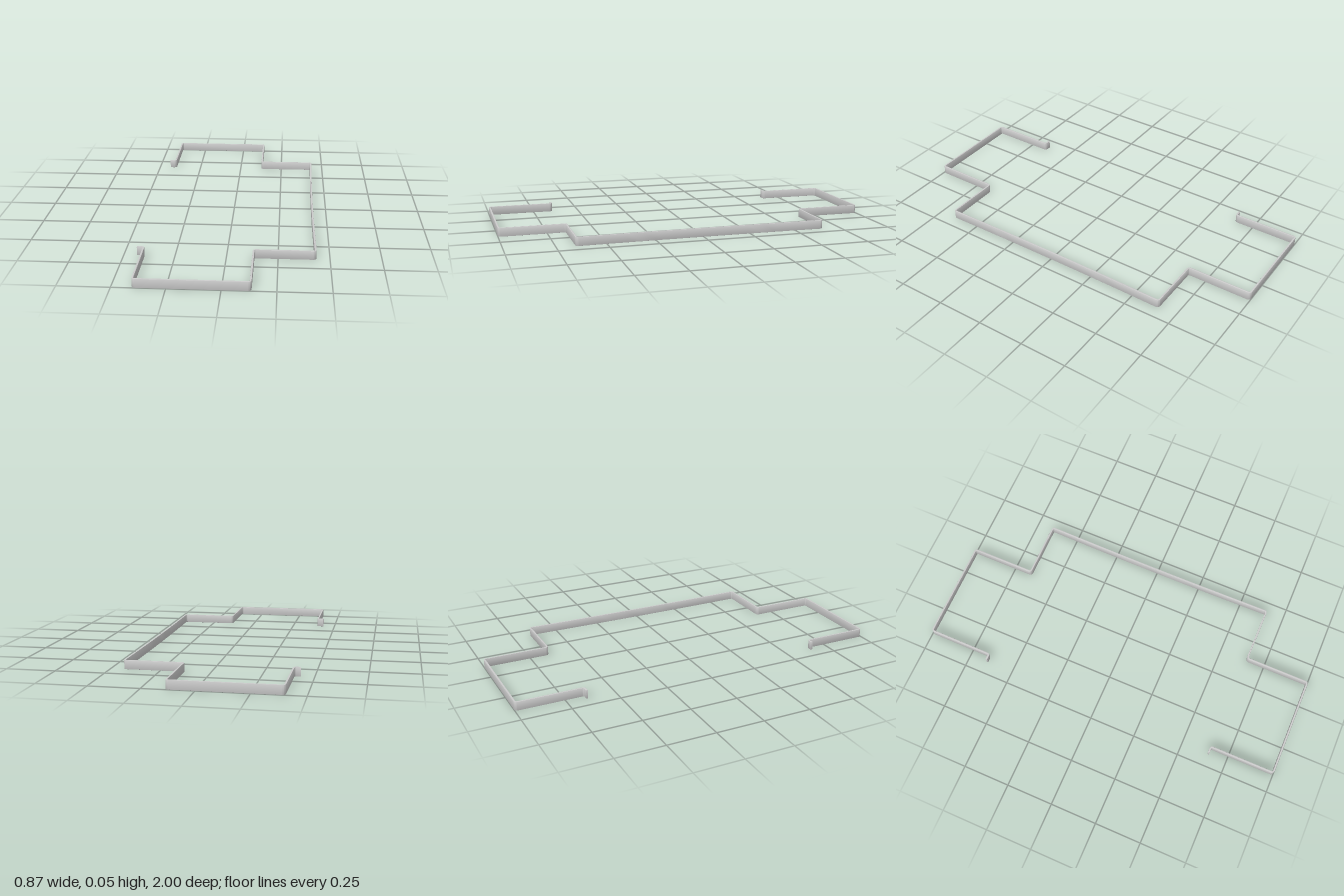
import * as THREE from 'three';
import { toCreasedNormals } from 'three/addons/utils/BufferGeometryUtils.js';

const THICK = 0.009, HEIGHT = 0.046, RADIUS = 0.012, BEVEL = 0.0015;

// Centre line of the bent strip, half of it (z > 0), from the open end to the long wall
const half = [[-0.435, 0.649], [-0.401, 0.649], [-0.401, 0.9955], [0.132, 0.9955], [0.132, 0.651], [0.43, 0.651]];
const corners = [...half, ...half.map(([x, z]) => [x, -z]).reverse()].map(([x, z]) => new THREE.Vector2(x, z));

// Points with tangents along the strip, every bend rounded
function bentPath() {
  const out = [];
  const dir = (a, b) => b.clone().sub(a).normalize();
  const last = corners.length - 1;
  out.push({ p: corners[0], t: dir(corners[0], corners[1]) });
  for (let i = 1; i < last; i++) {
    const u = dir(corners[i - 1], corners[i]), v = dir(corners[i], corners[i + 1]);
    const centre = corners[i].clone().addScaledVector(u, -RADIUS).addScaledVector(v, RADIUS);
    for (let k = 0; k <= 6; k++) {
      const a = (k / 6) * Math.PI / 2, s = Math.sin(a), c = Math.cos(a);
      out.push({
        p: centre.clone().addScaledVector(u, RADIUS * s).addScaledVector(v, -RADIUS * c),
        t: u.clone().multiplyScalar(c).addScaledVector(v, s),
      });
    }
    // Long wall bows slightly inward
    if (i === half.length - 1) {
      for (let k = 1; k < 16; k++) {
        const w = 1 - k / 8;
        out.push({ p: new THREE.Vector2(0.43 - 0.006 * (1 - w * w), 0.635 * w), t: v.clone() });
      }
    }
  }
  out.push({ p: corners[last], t: dir(corners[last - 1], corners[last]) });
  return out;
}

export function createModel() {
  const group = new THREE.Group();
  group.name = 'bentStripBracket';

  // Outline: one side of the strip forward, the other side back
  const path = bentPath();
  const side = (s) => path.map(({ p, t }) => new THREE.Vector2(p.x - t.y * s, -(p.y + t.x * s)));
  const shape = new THREE.Shape([...side(THICK / 2), ...side(-THICK / 2).reverse()]);

  let geometry = new THREE.ExtrudeGeometry(shape, {
    depth: HEIGHT - 2 * BEVEL, bevelEnabled: true, bevelThickness: BEVEL,
    bevelSize: BEVEL, bevelOffset: -BEVEL, bevelSegments: 2,
  });
  geometry.rotateX(-Math.PI / 2);
  geometry.translate(0, BEVEL, 0);
  geometry = toCreasedNormals(geometry, 0.6);

  const strip = new THREE.Mesh(geometry, new THREE.MeshStandardMaterial({ color: 0xcccccc }));
  strip.name = 'bentStrip';
  group.add(strip);
  return group;
}
